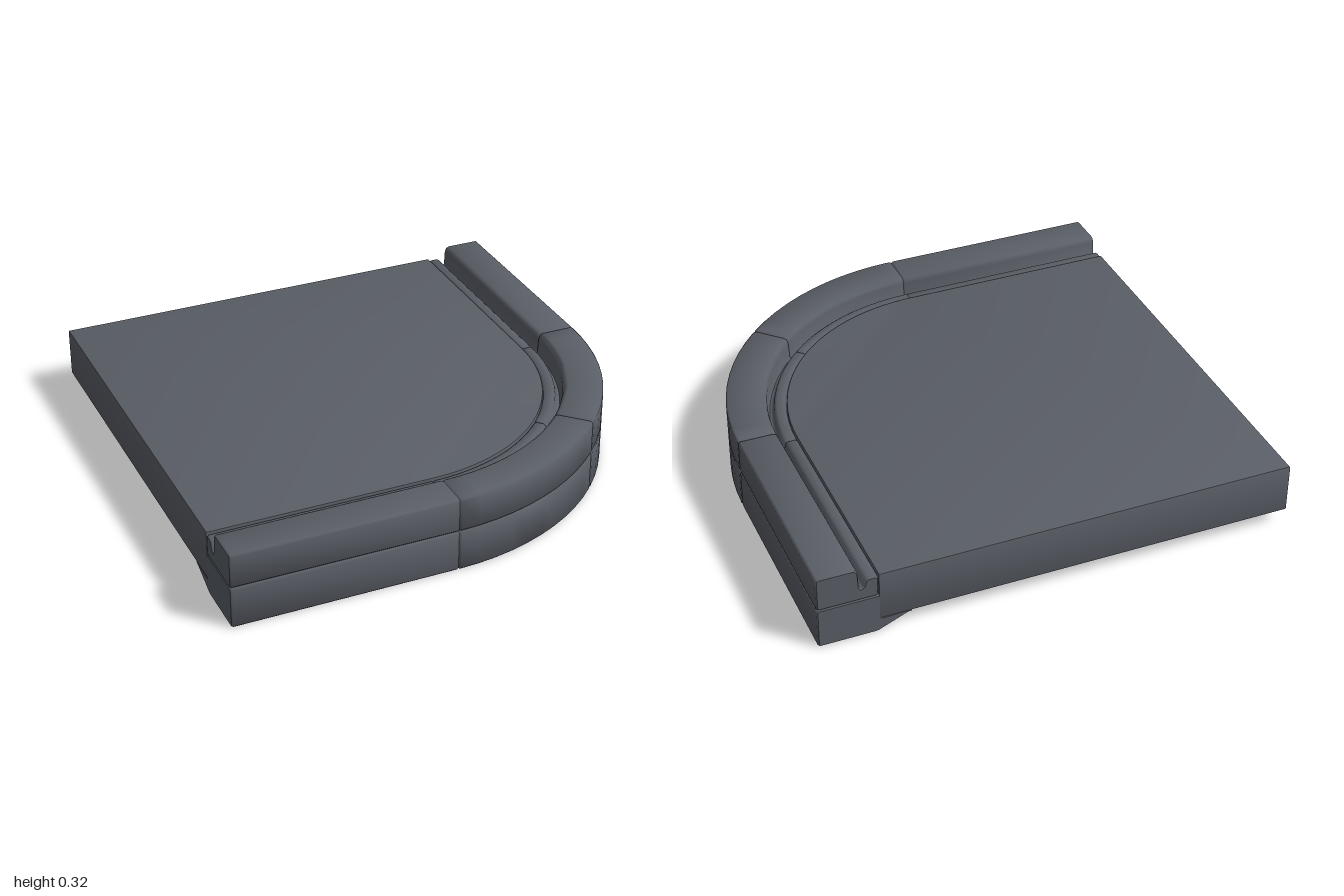
import * as THREE from 'three';
import { mergeVertices, toCreasedNormals } from 'three/addons/utils/BufferGeometryUtils.js';

const C = -0.06; // x and z of the centre of the corner arc
const BEVEL = 0.008;

// Path stations give the plan position of a profile point at offset r from the centre.
const alongZ = (z) => (r) => [r, z];
const alongX = (x) => (r) => [x, r];
const onArc = (a) => (r) => [C + (r - C) * Math.cos(a), C + (r - C) * Math.sin(a)];

// Cut every corner of a counter-clockwise profile.
function chamfer(points, d) {
  const out = [];
  points.forEach((p, i) => {
    const n = points.length;
    for (const q of [points[(i + n - 1) % n], points[(i + 1) % n]]) {
      const dir = q.clone().sub(p);
      out.push(p.clone().addScaledVector(dir, Math.min(d, dir.length() * 0.3) / dir.length()));
    }
  });
  return out;
}

// Shrink a counter-clockwise profile by moving its edges inwards.
function inset(points, d) {
  const n = points.length;
  return points.map((p, i) => {
    const a = p.clone().sub(points[(i + n - 1) % n]).normalize();
    const b = points[(i + 1) % n].clone().sub(p).normalize();
    const n1 = new THREE.Vector2(-a.y, a.x);
    const n2 = new THREE.Vector2(-b.y, b.x);
    const m = n1.clone().add(n2);
    return p.clone().addScaledVector(m, d / (1 + n1.dot(n2)));
  });
}

// Sweep a profile through stations, with bevelled, capped ends.
function sweepBlock(profile, stations) {
  const small = inset(profile, BEVEL * 0.6);
  const n = profile.length;
  const last = stations.length - 1;
  const pos = [];
  const idx = [];
  stations.forEach((place, s) => {
    for (const p of s === 0 || s === last ? small : profile) {
      const [x, z] = place(p.x);
      pos.push(x, p.y, z);
    }
  });
  for (let s = 0; s < last; s++) {
    for (let j = 0; j < n; j++) {
      const k = (j + 1) % n;
      const a = s * n;
      const b = a + n;
      idx.push(a + j, a + k, b + k, a + j, b + k, b + j);
    }
  }
  for (const [i, j, k] of THREE.ShapeUtils.triangulateShape(small, [])) {
    idx.push(k, j, i, last * n + i, last * n + j, last * n + k);
  }
  const g = new THREE.BufferGeometry();
  g.setAttribute('position', new THREE.Float32BufferAttribute(pos, 3));
  g.setIndex(idx);
  return toCreasedNormals(g, 0.85);
}

// Stations from a to b, with an extra one close to each end for the bevel.
function stationsBetween(make, a, b, steps) {
  const e = Math.sign(b - a) * BEVEL;
  const list = [a];
  for (let i = 0; i <= steps; i++) list.push(a + e + ((b - a - 2 * e) * i) / steps);
  list.push(b);
  return list.map(make);
}

const vecs = (list) => list.map(([x, y]) => new THREE.Vector2(x, y));

export function createModel() {
  const model = new THREE.Group();
  const stone = new THREE.MeshStandardMaterial({ color: 0x5a5e66 });
  stone.name = 'slate grey';

  const add = (name, geometry, parent) => {
    const mesh = new THREE.Mesh(geometry, stone);
    mesh.name = name;
    parent.add(mesh);
  };

  // Paving slab with a rounded corner
  const edge = 0.75;
  const b = 0.005;
  const bottom = 0.062;
  const top = 0.277;
  const shape = new THREE.Shape();
  shape.moveTo(-1, 1);
  shape.lineTo(-1, -edge);
  shape.lineTo(C, -edge);
  shape.absarc(C, -C, edge - C, -Math.PI / 2, 0, false);
  shape.lineTo(edge, 1);
  shape.closePath();
  const slab = new THREE.ExtrudeGeometry(shape, {
    depth: top - bottom - 2 * b,
    bevelEnabled: true,
    bevelThickness: b,
    bevelSize: b,
    bevelOffset: -b,
    bevelSegments: 2,
    curveSegments: 24,
  });
  slab.rotateX(-Math.PI / 2);
  slab.translate(0, bottom + b, 0);
  slab.deleteAttribute('uv');
  slab.deleteAttribute('normal');
  add('pavingSlab', toCreasedNormals(mergeVertices(slab, 1e-5), 0.6), model);

  // Kerb stones: footing course below, raised course with gutter strip and slot above
  const footing = chamfer(vecs([
    [0.61, 0.064], [0.76, 0], [1, 0], [1, 0.177], [0.745, 0.177], [0.745, 0.064],
  ]), 0.007);
  const raised = chamfer(vecs([
    [0.752, 0.177], [1, 0.177], [1, 0.325], [0.845, 0.325], [0.832, 0.308],
    [0.828, 0.23], [0.812, 0.23], [0.8, 0.27], [0.752, 0.27],
  ]), 0.008);

  const quarter = Math.PI / 4;
  const runs = {
    leftStraight: stationsBetween(alongZ, -1, C, 1),
    leftCurve: stationsBetween(onArc, 0, quarter, 10),
    frontCurve: stationsBetween(onArc, quarter, 2 * quarter, 10),
    frontStraight: stationsBetween(alongX, C, -1, 1),
  };
  for (const [name, stations] of Object.entries(runs)) {
    const kerb = new THREE.Group();
    kerb.name = name + 'Kerb';
    add(name + 'Footing', sweepBlock(footing, stations), kerb);
    add(name + 'RaisedStone', sweepBlock(raised, stations), kerb);
    model.add(kerb);
  }
  return model;
}
